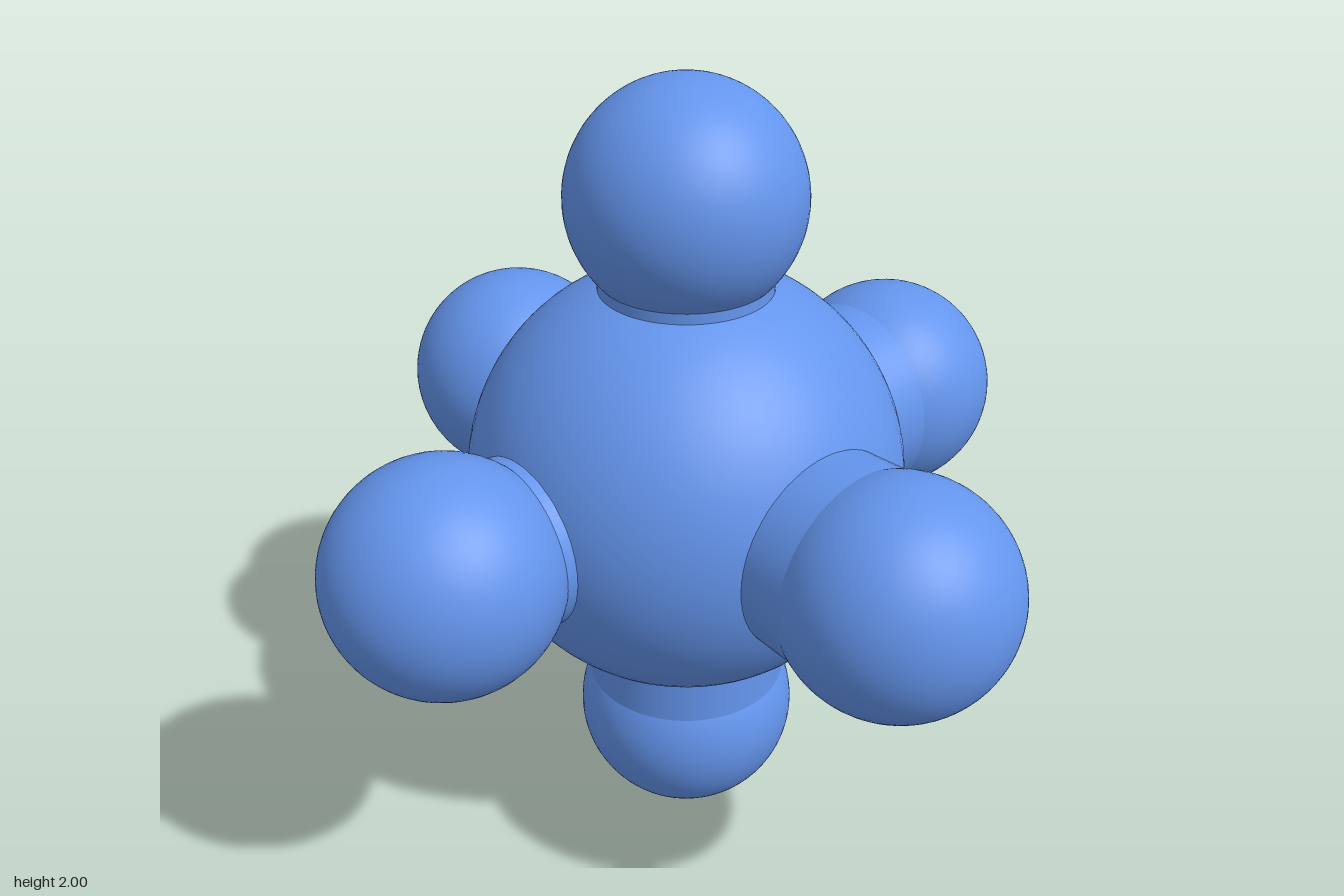
import * as THREE from 'three';

export function createModel() {
  const model = new THREE.Group();
  const material = new THREE.MeshStandardMaterial({ color: 0x6495ed });
  const offset = 0.717;

  const add = (name, geometry, parent) => {
    const mesh = new THREE.Mesh(geometry, material);
    mesh.name = name;
    parent.add(mesh);
    return mesh;
  };

  // Central ball
  const core = new THREE.Group();
  core.name = 'core';
  core.position.y = 1;
  model.add(core);
  add('centreBall', new THREE.SphereGeometry(0.542, 64, 48), core);

  // One tapered rod with a ball on each end, repeated along the three axes
  const rodGeometry = new THREE.CylinderGeometry(0.2, 0.262, 2 * offset, 64);
  const ballGeometry = new THREE.SphereGeometry(0.283, 64, 48);
  const axes = [
    ['vertical', 0, 0],
    ['sideways', 0, Math.PI / 2],
    ['frontToBack', Math.PI / 2, 0],
  ];
  for (const [name, rx, rz] of axes) {
    const arm = new THREE.Group();
    arm.name = name + 'Arm';
    arm.rotation.set(rx, 0, rz);
    core.add(arm);
    add('taperedRod', rodGeometry, arm);
    for (const side of [-1, 1]) {
      add('endBall', ballGeometry, arm).position.y = side * offset;
    }
  }
  return model;
}
